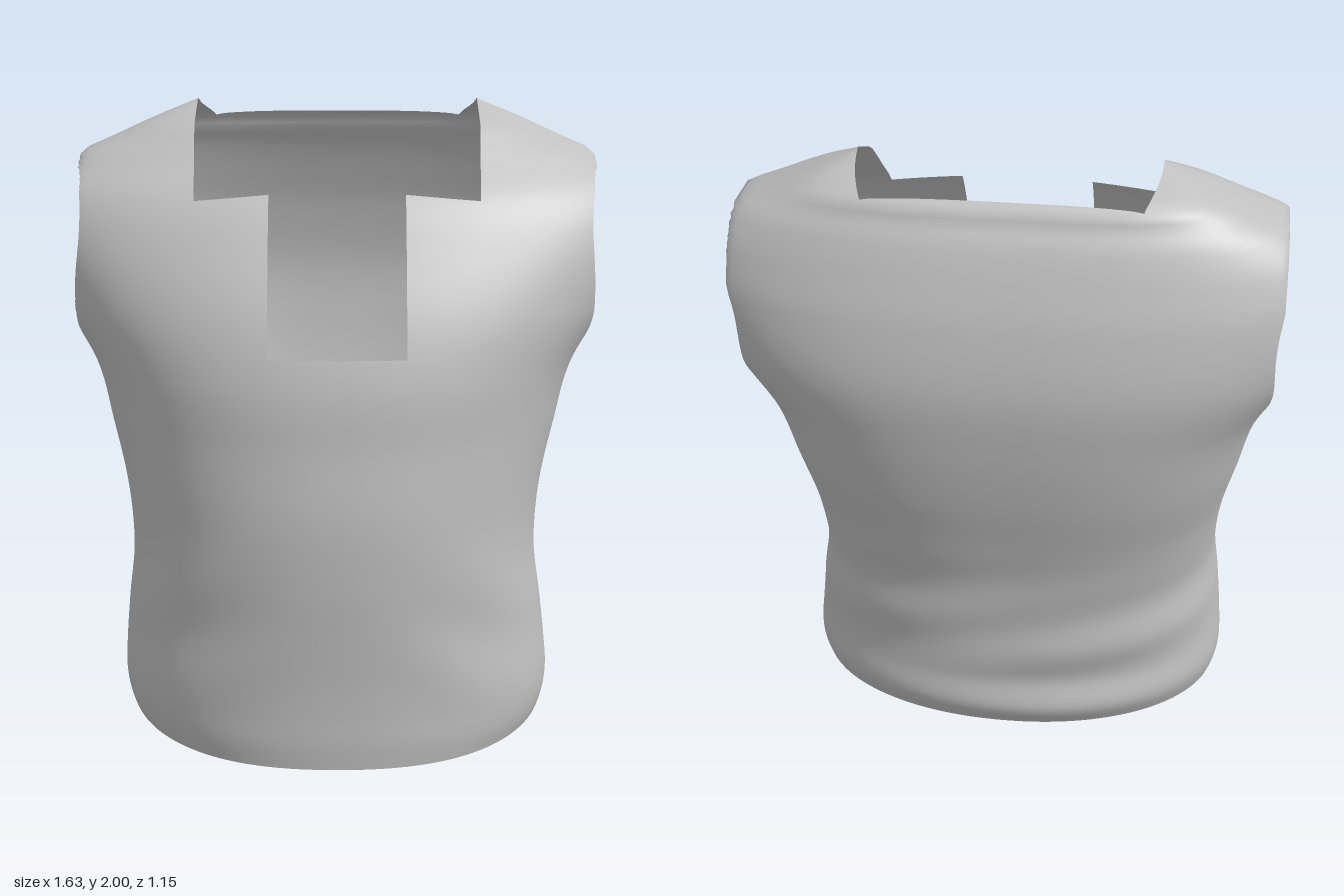
import * as THREE from 'three';
import { mergeVertices } from 'three/addons/utils/BufferGeometryUtils.js';

// Horizontal sections: height, half width, front z, back z, middle z, front and back roundness
const SECTIONS = [
  [0.00, 0.63, 0.545, -0.37, 0.07, 2.2, 2.1],
  [0.08, 0.67, 0.55, -0.39, 0.07, 2.2, 2.1],
  [0.17, 0.69, 0.55, -0.43, 0.06, 2.2, 2.1],
  [0.28, 0.685, 0.553, -0.41, 0.06, 2.2, 2.2],
  [0.42, 0.67, 0.562, -0.425, 0.06, 2.15, 2.3],
  [0.60, 0.65, 0.573, -0.43, 0.05, 2.15, 2.4],
  [0.80, 0.665, 0.573, -0.47, 0.02, 2.15, 2.6],
  [1.00, 0.71, 0.552, -0.52, -0.02, 2.2, 2.7],
  [1.20, 0.765, 0.53, -0.555, -0.06, 2.3, 2.7],
  [1.40, 0.89, 0.47, -0.57, -0.1, 2.25, 2.6],
  [1.60, 0.97, 0.365, -0.54, -0.1, 2.2, 2.5],
  [1.73, 0.95, 0.28, -0.50, -0.1, 2.1, 2.5],
  [1.83, 0.835, 0.17, -0.46, -0.12, 2.05, 2.7],
  [1.88, 0.725, 0.12, -0.43, -0.13, 2.05, 3],
  [1.94, 0.59, 0.05, -0.392, -0.15, 2.1, 3.4],
  [2.00, 0.446, -0.12, -0.22, -0.17, 2.1, 3],
];

// Smooth interpolation between neighbouring sections
function sectionAt(y) {
  let k = 0;
  while (k < SECTIONS.length - 2 && y > SECTIONS[k + 1][0]) k++;
  const a = SECTIONS[k], b = SECTIONS[k + 1];
  const before = SECTIONS[Math.max(k - 1, 0)];
  const after = SECTIONS[Math.min(k + 2, SECTIONS.length - 1)];
  const h = b[0] - a[0], t = (y - a[0]) / h;
  return a.map((v, c) => {
    const m0 = (b[c] - before[c]) / (b[0] - before[0]) * h;
    const m1 = (after[c] - v) / (after[0] - a[0]) * h;
    const t2 = t * t, t3 = t2 * t;
    return (2 * t3 - 3 * t2 + 1) * v + (t3 - 2 * t2 + t) * m0
      + (3 * t2 - 2 * t3) * b[c] + (t3 - t2) * m1;
  });
}

// Soft cloth folds around the waist, fading out at the sides
function fold(x, y, s) {
  const waist = Math.abs(s) * Math.exp(-(((y - 0.42) / 0.26) ** 2));
  const side = Math.min(1, (x / 0.45) ** 2);
  return s > 0
    ? 0.007 * waist * side * Math.sin(16 * y + 10 * Math.abs(x))
    : 0.007 * waist * Math.sin(24 * y + 5 * x);
}

// Closed torso skin as a grid of rings, before the openings are cut
function torsoSkin(rows, cols) {
  const pos = [], index = [];
  for (let j = 0; j <= rows; j++) {
    const y = 2 * j / rows;
    const [, w, zf, zb, zc, nf, nb] = sectionAt(y);
    const lean = -0.012 * Math.max(0, Math.sin(Math.PI * y / 1.8));
    for (let i = 0; i < cols; i++) {
      const a = i / cols * Math.PI * 2, c = Math.cos(a), s = Math.sin(a);
      const p = 2 / (s >= 0 ? nf : nb);
      const depth = s >= 0 ? zf - zc : zc - zb;
      let x = lean + Math.sign(c) * w * Math.abs(c) ** p;
      let z = zc + Math.sign(s) * depth * Math.abs(s) ** p;
      const d = fold(x, y, s);
      x += c * d;
      z += s * d;
      pos.push(Math.max(-0.815, Math.min(0.815, x)), y, z);
      if (j < rows) {
        const n = (i + 1) % cols, r = j * cols, q = r + cols;
        index.push(r + i, q + i, r + n, r + n, q + i, q + n);
      }
    }
  }
  const geo = new THREE.BufferGeometry();
  geo.setAttribute('position', new THREE.Float32BufferAttribute(pos, 3));
  geo.setIndex(index);
  geo.computeVertexNormals();
  return geo;
}

// Part of a polygon where sign * f >= 0
function clip(poly, f, sign) {
  const out = [];
  poly.forEach((a, i) => {
    const b = poly[(i + 1) % poly.length];
    const fa = sign * f(a), fb = sign * f(b);
    if (fa >= 0) out.push(a);
    if ((fa >= 0) !== (fb >= 0)) {
      const t = fa / (fa - fb);
      out.push(a.map((v, k) => v + (b[k] - v) * t));
    }
  });
  return out;
}

// Remove the region where every function is negative
function cut(polys, fns) {
  const kept = [];
  for (const poly of polys) {
    if (fns.some(f => poly.every(v => f(v) >= 0))) { kept.push(poly); continue; }
    let rest = poly;
    for (const f of fns) {
      const outside = clip(rest, f, 1);
      if (outside.length > 2) kept.push(outside);
      rest = clip(rest, f, -1);
      if (rest.length < 3) break;
    }
  }
  return kept;
}

// Each opening is a convex region given by its sides
const OPENINGS = [
  // hem, rising towards the back
  [([, y, z]) => y - 0.095 * THREE.MathUtils.smoothstep(-z, -0.6, 0.1)],
  // square neck, narrowing at the back
  [([x, , z]) => Math.abs(x) - (0.446 - 0.9 * Math.min(z + 0.17, 0) ** 2 - 0.05 * Math.max(z, 0)),
    ([x, y]) => 1.765 - 0.09 * Math.abs(x) - y,
    ([, , z]) => -0.386 - z],
  // front slot below the neck
  [([x]) => Math.abs(x) - 0.207, ([, y]) => 1.29 - y, ([, , z]) => -z],
  // armholes on both sides
  [([x]) => 0.5 - Math.abs(x),
    ([, y, z]) => ((z + 0.1) / 0.305) ** 2 + ((y - 1.52) / 0.3) ** 2 - 1],
];

function vestGeometry() {
  const skin = torsoSkin(120, 160);
  const P = skin.attributes.position, N = skin.attributes.normal;
  const vertex = i => [P.getX(i), P.getY(i), P.getZ(i), N.getX(i), N.getY(i), N.getZ(i)];
  let polys = [];
  const idx = skin.index.array;
  for (let i = 0; i < idx.length; i += 3) {
    polys.push([vertex(idx[i]), vertex(idx[i + 1]), vertex(idx[i + 2])]);
  }
  for (const opening of OPENINGS) polys = cut(polys, opening);

  const pos = [], nor = [];
  for (const p of polys) {
    for (let k = 1; k < p.length - 1; k++) {
      for (const v of [p[0], p[k], p[k + 1]]) {
        pos.push(v[0], v[1], v[2]);
        nor.push(v[3], v[4], v[5]);
      }
    }
  }
  const geo = new THREE.BufferGeometry();
  geo.setAttribute('position', new THREE.Float32BufferAttribute(pos, 3));
  geo.setAttribute('normal', new THREE.Float32BufferAttribute(nor, 3));
  return mergeVertices(geo, 1e-5);
}

export function createModel() {
  const group = new THREE.Group();
  group.name = 'sleevelessTop';
  const cloth = new THREE.MeshStandardMaterial({ color: 0xc0c0c0, side: THREE.DoubleSide });
  cloth.name = 'grey cloth';
  const vest = new THREE.Mesh(vestGeometry(), cloth);
  vest.name = 'vestBody';
  group.add(vest);
  return group;
}
